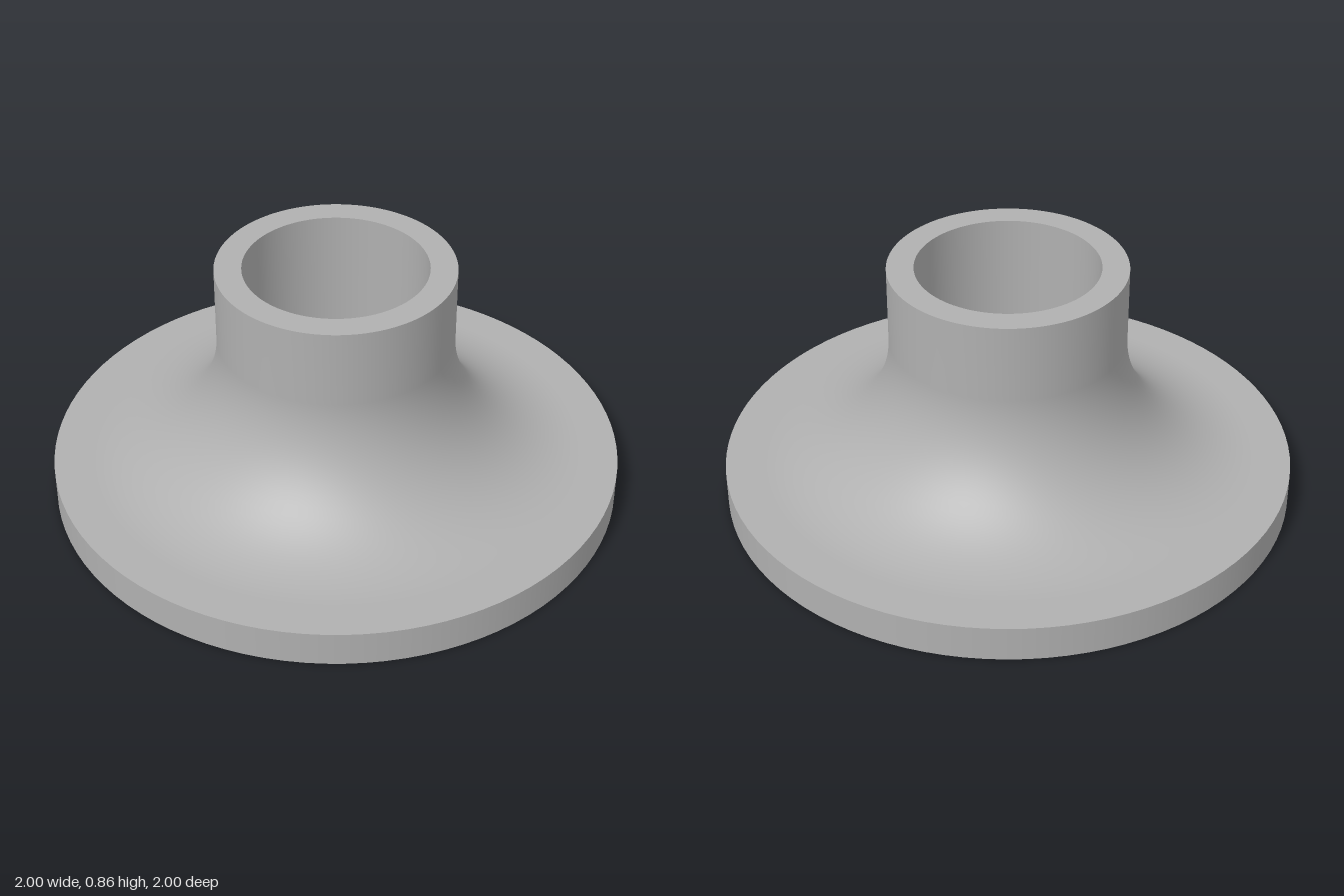
import * as THREE from 'three';

const SEGMENTS = 96;
const FLANGE_R = 1, FLANGE_H = 0.125;
const NECK_R = 0.41, BORE_R = 0.317, TOP = 0.86;
const FILLET_R = 0.46;

export function createModel() {
  const model = new THREE.Group();
  model.name = 'flangedCollar';
  const metal = new THREE.MeshStandardMaterial({ color: 0xb0b0b0 });
  metal.name = 'grey metal';

  // Each surface is its own lathe, so the rims between them stay sharp
  const addSurface = (name, points) => {
    const profile = points.map(([r, y]) => new THREE.Vector2(r, y));
    const mesh = new THREE.Mesh(new THREE.LatheGeometry(profile, SEGMENTS), metal);
    mesh.name = name;
    model.add(mesh);
  };

  // Flange top, sweeping through a quarter-round fillet into the straight neck
  const sweep = [[FLANGE_R, FLANGE_H]];
  const steps = 20;
  for (let i = 0; i <= steps; i++) {
    const a = (i / steps) * Math.PI / 2;
    sweep.push([
      NECK_R + FILLET_R * (1 - Math.sin(a)),
      FLANGE_H + FILLET_R * (1 - Math.cos(a)),
    ]);
  }
  sweep.push([NECK_R, TOP]);

  addSurface('flangeUnderside', [[BORE_R, 0], [FLANGE_R, 0]]);
  addSurface('flangeEdge', [[FLANGE_R, 0], [FLANGE_R, FLANGE_H]]);
  addSurface('filletedNeck', sweep);
  addSurface('neckRim', [[NECK_R, TOP], [BORE_R, TOP]]);
  addSurface('bore', [[BORE_R, TOP], [BORE_R, 0]]);

  return model;
}
